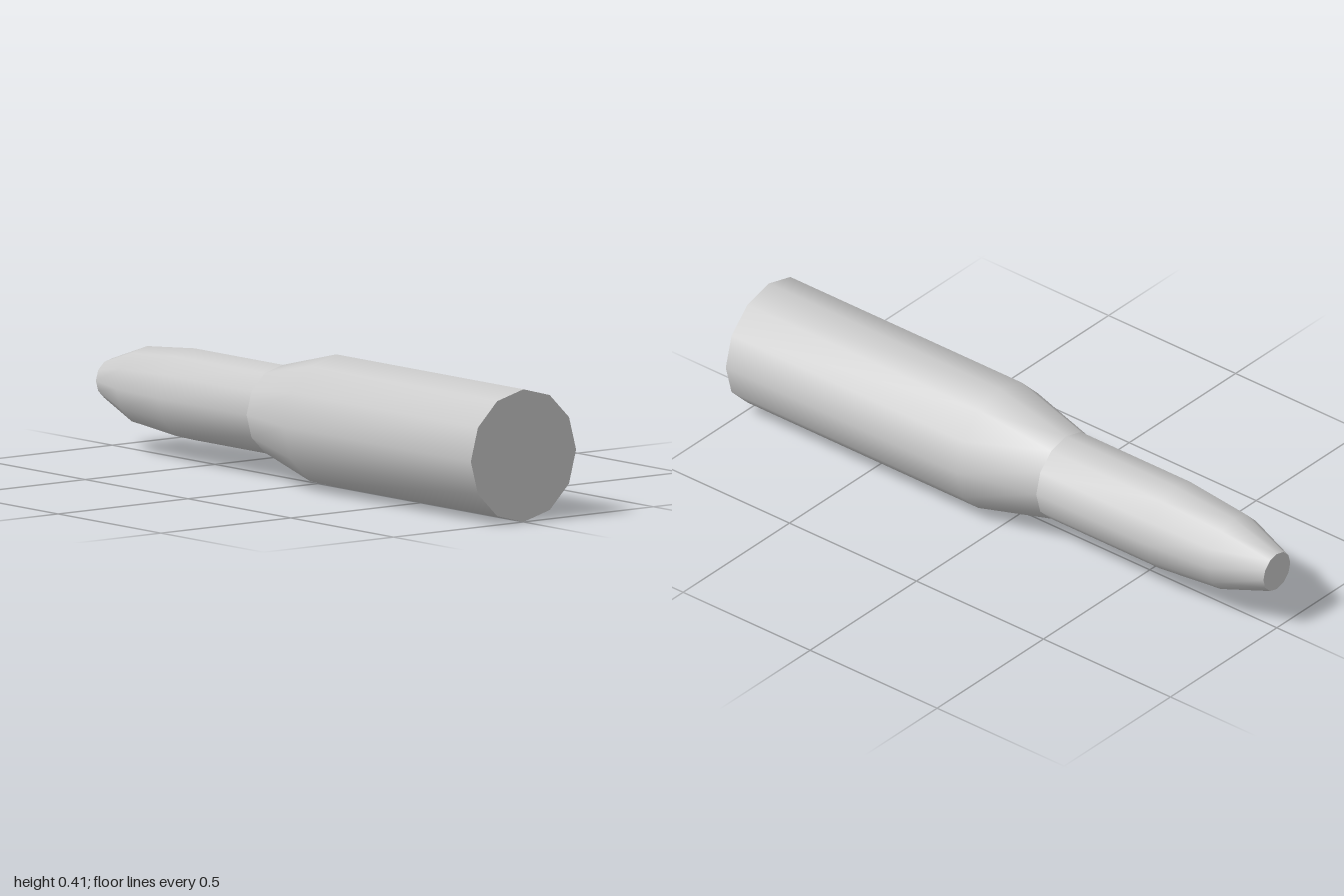
import * as THREE from 'three';
import { toCreasedNormals } from 'three/addons/utils/BufferGeometryUtils.js';

const SIDES = 12;
const RADIUS = 0.2025;

// Turns [x, radius] pairs around the long axis, which lies along x.
function turned(name, profile, material) {
  const points = profile.map(([x, r]) => new THREE.Vector2(r, x));
  const lathe = new THREE.LatheGeometry(points, SIDES).rotateZ(-Math.PI / 2);
  const mesh = new THREE.Mesh(toCreasedNormals(lathe, 0.6), material);
  mesh.name = name;
  mesh.position.y = RADIUS;
  return mesh;
}

export function createModel() {
  const group = new THREE.Group();
  group.name = 'cartridge';
  const material = new THREE.MeshStandardMaterial({ color: 0xcccccc });

  // Tapered projectile with a blunt flat tip
  group.add(turned('projectile', [
    [-1, 0], [-1, 0.063], [-0.83, 0.12], [-0.6, 0.14], [-0.17, 0.14],
  ], material));

  // Casing: sloped shoulder, straight body and closed flat base
  group.add(turned('casing', [
    [-0.17, 0.14], [0.09, RADIUS], [1, RADIUS], [1, 0],
  ], material));

  return group;
}
